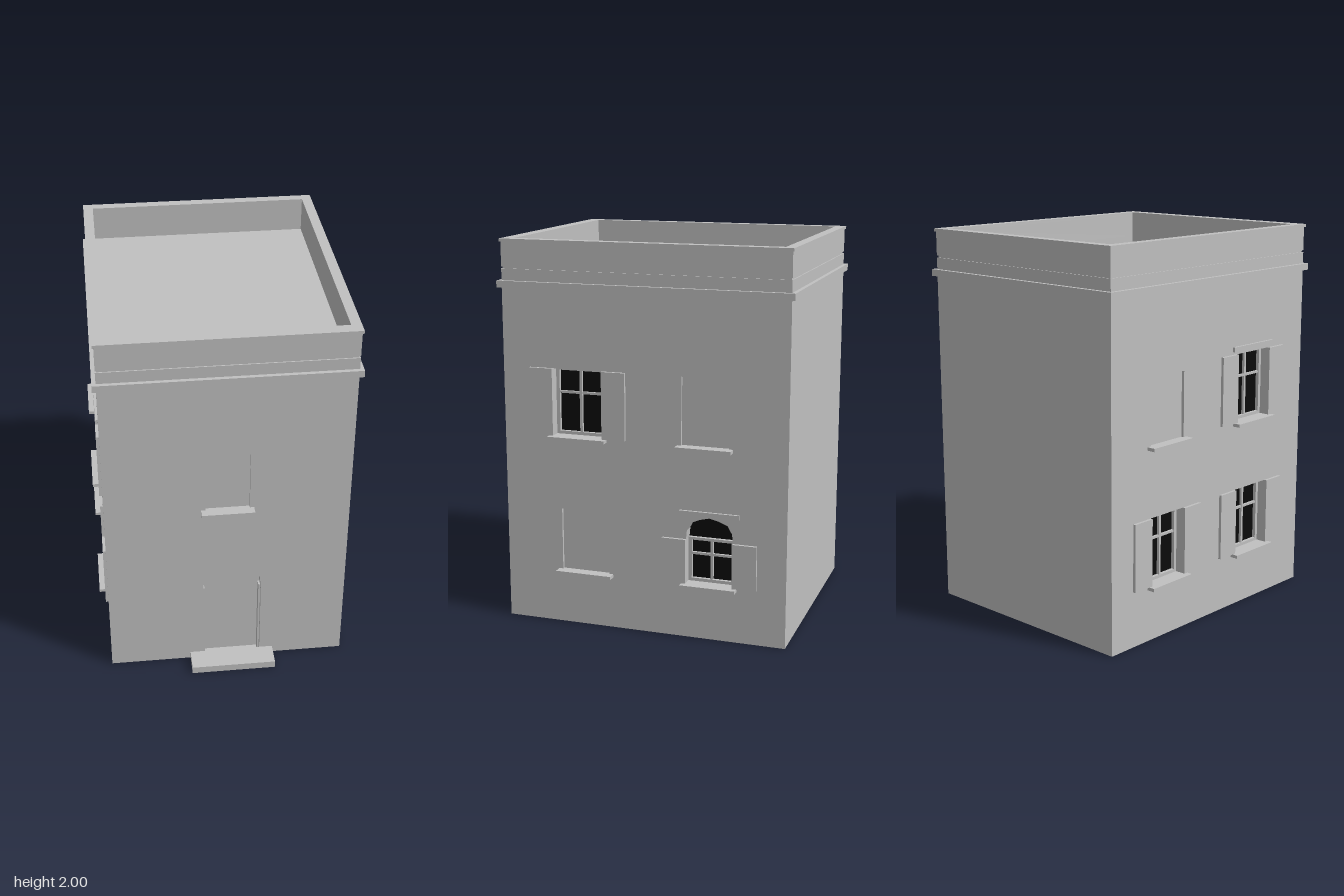
import * as THREE from 'three';

const plaster = new THREE.MeshStandardMaterial({ color: 0xc0c0c0 });
plaster.name = 'plaster';
const darkGlass = new THREE.MeshStandardMaterial({ color: 0x0a0a0a });
darkGlass.name = 'darkGlass';

// Outer faces of the walls, wall thickness and roof level
const X0 = -0.625, X1 = 0.62, Z0 = -0.8, Z1 = 0.7, T = 0.07, ROOF = 1.82;

function add(parent, name, geometry, material = plaster) {
  const mesh = new THREE.Mesh(geometry, material);
  mesh.name = name;
  parent.add(mesh);
  return mesh;
}

// Box given by its low and high limits
function box(parent, name, [x0, x1], [y0, y1], [z0, z1], material) {
  const geo = new THREE.BoxGeometry(x1 - x0, y1 - y0, z1 - z0);
  geo.translate((x0 + x1) / 2, (y0 + y1) / 2, (z0 + z1) / 2);
  return add(parent, name, geo, material);
}

function rectPoints(x0, x1, y0, y1) {
  return [[x0, y0], [x1, y0], [x1, y1], [x0, y1]].map(p => new THREE.Vector2(...p));
}

// Opening outline; the arch is a coarse, slightly pointed curve
function openingPoints({ u, w, y0, y1, arch = 0 }) {
  const h = w / 2;
  if (!arch) return rectPoints(u - h, u + h, y0, y1);
  const side = [[1, 0], [0.96, 0.4], [0.78, 0.74], [0.4, 0.9]];
  const right = side.map(([a, b]) => new THREE.Vector2(u + a * h, y1 + b * arch));
  const left = side.map(([a, b]) => new THREE.Vector2(u - a * h, y1 + b * arch)).reverse();
  return [new THREE.Vector2(u - h, y0), new THREE.Vector2(u + h, y0),
    ...right, new THREE.Vector2(u, y1 + arch), ...left];
}

function extrude(points, holes, depth) {
  const shape = new THREE.Shape(points);
  shape.holes = holes.map(h => new THREE.Path(h));
  return new THREE.ExtrudeGeometry(shape, { depth, bevelEnabled: false });
}

// Rectangular ring running round the building
function ring(parent, name, y0, y1, out) {
  const geo = extrude(rectPoints(X0 - out, X1 + out, -Z1 - out, -Z0 + out),
    [rectPoints(-0.58, 0.575, -0.645, 0.755)], y1 - y0);
  geo.rotateX(-Math.PI / 2);
  geo.translate(0, y0, 0);
  return add(parent, name, geo);
}

// Sill, shutters, frame, glass or closed panel for one opening
function fitOpening(wall, o) {
  const { u, w, y0, y1, kind } = o, h = w / 2;
  const group = new THREE.Group();
  group.name = kind;
  wall.add(group);

  if (kind === 'door') {
    const leaf = add(group, 'doorLeaf', extrude(openingPoints(o), [], 0.015));
    leaf.position.z = -0.07;
    for (const s of [-1, 1]) {
      const x = u + s * (h - 0.005);
      box(group, 'doorJamb', [x - 0.005, x + 0.005], [y0, y1], [-0.06, -0.02]);
    }
    return;
  }

  box(group, 'sill', [u - h - 0.022, u + h + 0.022], [y0 - 0.017, y0], [-0.01, 0.045]);
  if (o.lintel) {
    const lw = h + 0.033;
    box(group, 'lintel', [u - lw, u + lw], [o.lintel, o.lintel + 0.025], [-0.01, 0.013]);
  }
  if (kind === 'blindWindow') {
    box(group, 'blindPanel', [u - h, u + h], [y0, y1], [-T, -0.015]);
    return;
  }

  // Glass pane, frame and glazing bars
  const glass = add(group, 'glass', extrude(openingPoints(o), [], 0.005), darkGlass);
  glass.position.z = -0.065;
  const frame = add(group, 'windowFrame', extrude(rectPoints(u - h, u + h, y0, y1),
    [rectPoints(u - h + 0.018, u + h - 0.018, y0 + 0.016, y1 - 0.014)], 0.02));
  frame.position.z = -0.062;
  const barY = y0 + 0.63 * (y1 - y0);
  box(group, 'verticalBar', [u - 0.007, u + 0.007], [y0 + 0.01, y1 - 0.01], [-0.062, -0.046]);
  box(group, 'crossBar', [u - h + 0.01, u + h - 0.01], [barY - 0.006, barY + 0.006], [-0.062, -0.047]);

  // Open shutters folded flat against the wall
  for (const s of [-1, 1]) {
    const a = u + s * h, b = u + s * (h + 0.125);
    box(group, 'shutter', [Math.min(a, b), Math.max(a, b)], [y0, y1], [-0.002, 0.015]);
  }
}

// Wall slab with its openings; local z = 0 is the outer face
function makeWall(parent, name, u0, u1, openings) {
  const wall = new THREE.Group();
  wall.name = name;
  const slab = add(wall, name + 'Slab',
    extrude(rectPoints(u0, u1, 0, ROOF), openings.map(openingPoints), T));
  slab.position.z = -T;
  openings.forEach(o => fitOpening(wall, o));
  parent.add(wall);
  return wall;
}

export function createModel() {
  const model = new THREE.Group();
  model.name = 'house';

  // Inner core carries the flat roof and backs the openings
  box(model, 'roofCore', [X0 + T, X1 - T], [0, ROOF], [Z0 + T, Z1 - T]);
  box(model, 'backWall', [X0, X1], [0, ROOF], [Z0, Z0 + T]);

  const front = makeWall(model, 'frontWall', X0, X1, [
    { kind: 'door', u: 0.0225, w: 0.305, y0: 0.005, y1: 0.47, arch: 0.175 },
    { kind: 'blindWindow', u: -0.004, w: 0.225, y0: 1.007, y1: 1.332 },
  ]);
  front.position.z = Z1;

  // Local x runs towards the back on this side
  const left = makeWall(model, 'leftWall', -Z1 + T, -Z0 - T, [
    { kind: 'shutteredWindow', u: -0.297, w: 0.265, y0: 1.007, y1: 1.355 },
    { kind: 'blindWindow', u: 0.376, w: 0.245, y0: 1.007, y1: 1.355 },
    { kind: 'blindWindow', u: -0.265, w: 0.257, y0: 0.29, y1: 0.617 },
    { kind: 'shutteredWindow', u: 0.402, w: 0.245, y0: 0.29, y1: 0.523, arch: 0.12, lintel: 0.65 },
  ]);
  left.position.x = X1;
  left.rotation.y = Math.PI / 2;

  // Local x runs towards the front on this side
  const right = makeWall(model, 'rightWall', Z0 + T, Z1 - T, [
    { kind: 'blindWindow', u: -0.4, w: 0.245, y0: 1.007, y1: 1.345 },
    { kind: 'shutteredWindow', u: 0.27, w: 0.262, y0: 1.007, y1: 1.37, lintel: 1.385 },
    { kind: 'shutteredWindow', u: -0.4, w: 0.245, y0: 0.29, y1: 0.64 },
    { kind: 'shutteredWindow', u: 0.27, w: 0.262, y0: 0.29, y1: 0.64 },
  ]);
  right.position.x = X0;
  right.rotation.y = -Math.PI / 2;

  // Cornice, shadow groove, parapet and coping
  ring(model, 'cornice', 1.755, 1.79, 0.02);
  ring(model, 'wallHead', ROOF, 1.85, 0);
  ring(model, 'groove', 1.85, 1.86, -0.006);
  ring(model, 'parapet', 1.86, 1.985, 0);
  ring(model, 'coping', 1.985, 2, 0.007);

  // Door step
  box(model, 'doorStep', [-0.2, 0.245], [0, 0.04], [Z1, 0.82]);

  return model;
}
